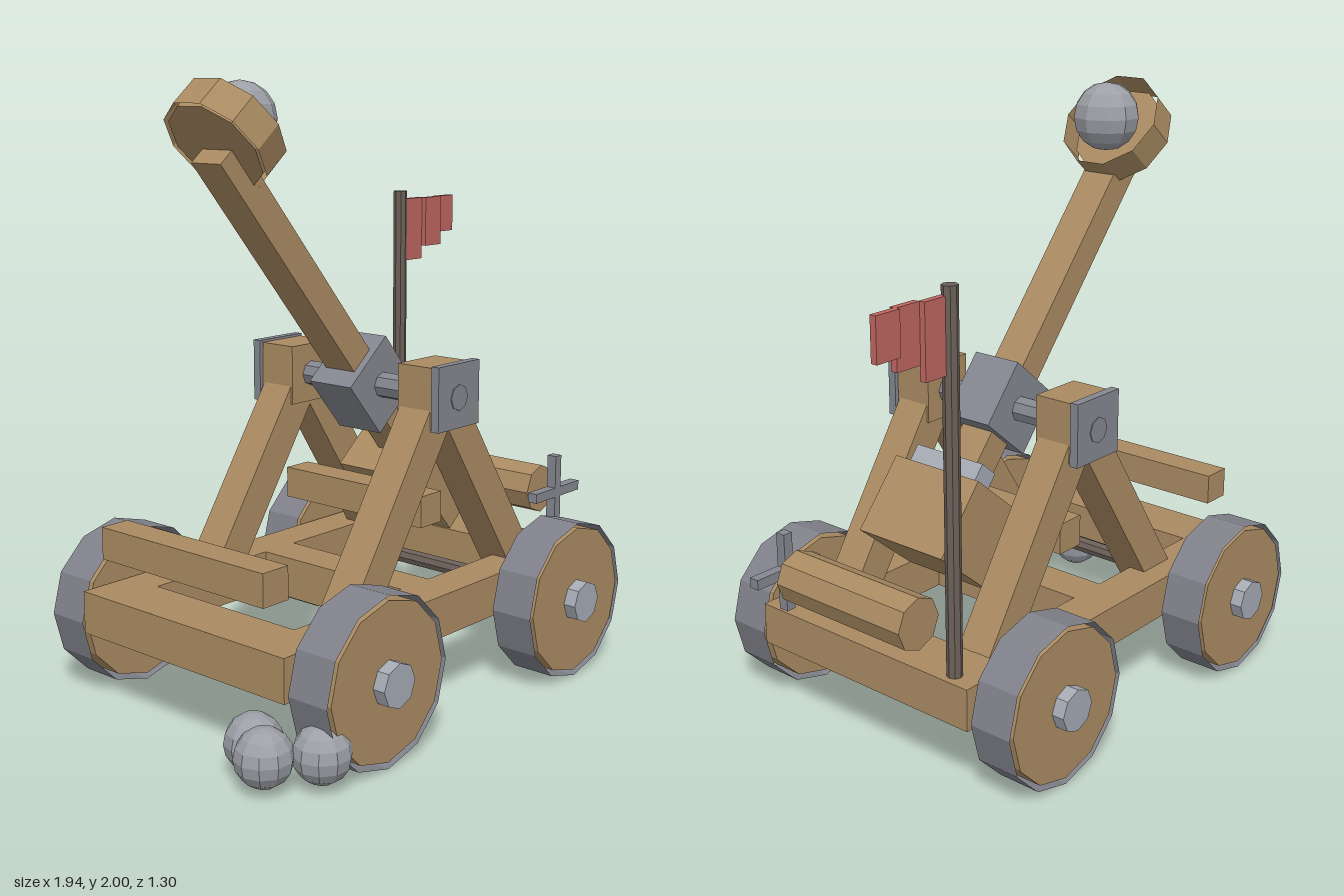
import * as THREE from 'three';

const mat = (name, color, side = THREE.FrontSide) => {
  const m = new THREE.MeshStandardMaterial({ color, flatShading: true, side });
  m.name = name;
  return m;
};

export function createModel() {
  const root = new THREE.Group();
  root.name = 'catapult';

  const wood = mat('wood', 0xaa8b62, THREE.DoubleSide);
  const tire = mat('tire grey', 0x80818a, THREE.DoubleSide);
  const iron = mat('iron', 0x84878f);
  const steel = mat('light steel', 0xa5aab4);
  const stone = mat('stone', 0x9c9fa6);
  const dark = mat('dark pole', 0x6b6058);
  const red = mat('flag red', 0xbf6660);

  const add = (name, geo, material, x, y, z, parent = root) => {
    const m = new THREE.Mesh(geo, material);
    m.name = name;
    m.position.set(x, y, z);
    parent.add(m);
    return m;
  };
  const box = (name, material, w, h, d, x, y, z, parent) =>
    add(name, new THREE.BoxGeometry(w, h, d), material, x, y, z, parent);
  // cylinder lying along z
  const rod = (name, material, r, len, sides, x, y, z, open = false) =>
    add(name, new THREE.CylinderGeometry(r, r, len, sides, 1, open).rotateX(Math.PI / 2), material, x, y, z);
  const ball = (name, r, x, y, z) =>
    add(name, new THREE.SphereGeometry(r, 10, 8), stone, x, y, z);

  // chassis
  for (const s of [1, -1]) box('sideRail', wood, 1.52, 0.14, 0.14, -0.035, 0.31, s * 0.375);
  for (const [x, w] of [[-0.7, 0.19], [-0.035, 0.14], [0.63, 0.19]])
    box('crossBeam', wood, w, 0.14, 0.61, x, 0.31, 0);
  box('rearBar', wood, 0.105, 0.105, 0.71, -0.733, 0.557, 0);
  box('middleBar', wood, 0.105, 0.105, 0.6, 0.053, 0.612, 0);

  // wheels and axles
  for (const x of [-0.525, 0.455]) {
    rod('wheelAxle', dark, 0.028, 1.2, 8, x, 0.27, 0);
    for (const s of [1, -1]) {
      rod('wheel', wood, 0.25, 0.148, 12, x, 0.27, s * 0.533);
      rod('tire', tire, 0.268, 0.15, 12, x, 0.268, s * 0.533, true);
      rod('hub', steel, 0.07, 0.06, 8, x, 0.27, s * 0.62);
    }
  }

  // A-frames carrying the pivot
  const PX = 0.055, PY = 1.0;
  for (const s of [1, -1]) {
    for (const k of [1, -1]) {
      const dx = 0.445, dy = 0.68;
      const leg = box('frameLeg', wood, 0.12, Math.hypot(dx, dy), 0.125,
        PX + k * dx / 2, PY - dy / 2, s * 0.303);
      leg.rotation.z = k * Math.atan2(dx, dy);
    }
    box('pivotBlock', wood, 0.19, 0.2, 0.14, PX, 1.003, s * 0.303);
    box('pivotPlate', iron, 0.21, 0.21, 0.03, PX, 1.005, s * 0.392);
  }
  rod('pivotAxle', iron, 0.043, 0.82, 8, PX, PY, 0);

  // throwing arm, local x runs down toward the counterweight
  const arm = new THREE.Group();
  arm.name = 'throwingArm';
  arm.position.set(PX, PY, 0);
  arm.rotation.z = -49.8 * Math.PI / 180;
  root.add(arm);
  box('armBeam', wood, 1.45, 0.1, 0.125, -0.3, 0, 0, arm);
  box('armHub', iron, 0.23, 0.23, 0.18, 0, 0, 0, arm);
  box('counterweight', wood, 0.27, 0.295, 0.355, 0.44, 0, 0, arm);
  box('weightStrap', steel, 0.12, 0.08, 0.28, 0.302, 0.078, 0, arm);
  add('cupWall', new THREE.CylinderGeometry(0.18, 0.18, 0.11, 10, 1, true), wood, -1.034, 0.0625, 0, arm);
  add('cupFloor', new THREE.CylinderGeometry(0.165, 0.165, 0.04, 10), wood, -1.034, 0.03, 0, arm);

  // stones: one loaded, three on the ground
  ball('loadedStone', 0.114, -0.502, 1.878, 0);
  for (const [x, z] of [[-0.825, 0.35], [-0.88, 0.445], [-0.752, 0.552]])
    ball('spareStone', 0.09, x, 0.11, z);

  // winch
  rod('winchDrum', wood, 0.087, 0.53, 8, 0.735, 0.54, 0);
  box('winchHandle', iron, 0.266, 0.034, 0.036, 0.735, 0.54, 0.32);
  box('winchHandle', iron, 0.034, 0.266, 0.036, 0.735, 0.54, 0.32);

  // stepped flag on its pole
  add('flagPole', new THREE.CylinderGeometry(0.025, 0.025, 1.23, 8), dark, 0.68, 0.97, -0.357);
  [[0.74, 0.23, -0.35], [0.834, 0.182, -0.333], [0.924, 0.136, -0.347]].forEach(([x, h, z]) =>
    box('flagPanel', red, 0.092, h, 0.022, x, 1.556 - h / 2, z));

  return root;
}
